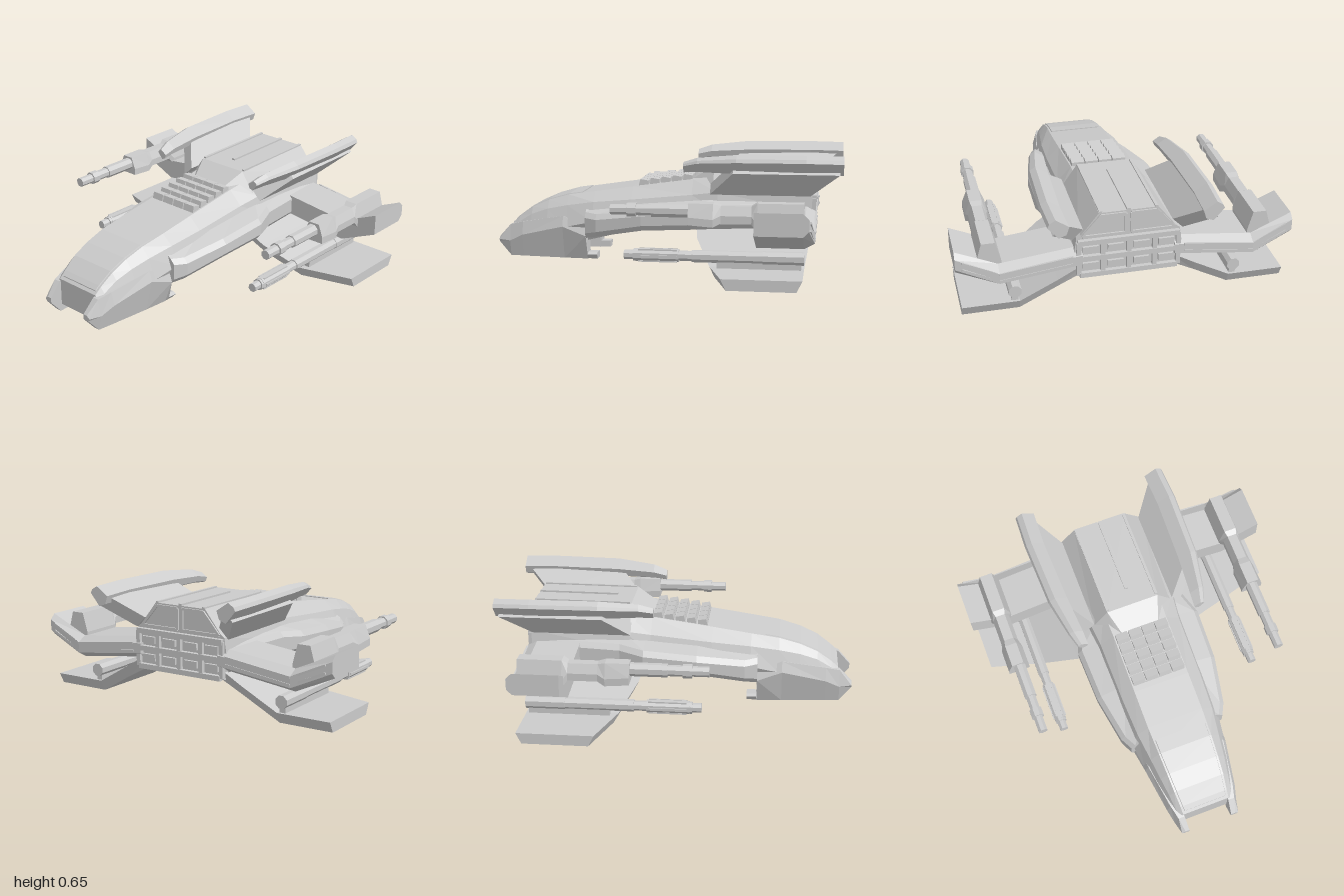
import * as THREE from 'three';

const mat = new THREE.MeshStandardMaterial({ color: 0xcccccc, flatShading: true });

// Closed solid through rings of [x, y, z] points, oriented outwards.
function loft(rings) {
  const n = rings[0].length, pos = [];
  let tris = [];
  for (let i = 0; i < rings.length - 1; i++)
    for (let j = 0; j < n; j++) {
      const k = (j + 1) % n, a = rings[i][j], b = rings[i][k], c = rings[i + 1][k], d = rings[i + 1][j];
      tris.push([a, b, c], [a, c, d]);
    }
  const cap = (r, flip) => {
    const c = [0, 1, 2].map(q => r.reduce((s, p) => s + p[q], 0) / n);
    for (let j = 0; j < n; j++) {
      const a = r[j], b = r[(j + 1) % n];
      tris.push(flip ? [c, b, a] : [c, a, b]);
    }
  };
  cap(rings[0], true);
  cap(rings[rings.length - 1], false);
  const v = p => new THREE.Vector3(...p);
  const volume = tris.reduce((s, [a, b, c]) => s + v(a).dot(v(b).cross(v(c))), 0);
  if (volume < 0) tris = tris.map(([a, b, c]) => [a, c, b]);
  tris.forEach(t => t.forEach(p => pos.push(...p)));
  const g = new THREE.BufferGeometry();
  g.setAttribute('position', new THREE.Float32BufferAttribute(pos, 3));
  g.computeVertexNormals();
  return g;
}

function add(parent, name, geo) {
  const m = new THREE.Mesh(geo, mat);
  m.name = name;
  parent.add(m);
  return m;
}

// Ring across the ship from half-profile pairs z, y
function symRing(x, ...zy) {
  const half = [];
  for (let i = 0; i < zy.length; i += 2) half.push([x, zy[i + 1], zy[i]]);
  return [...half, ...half.map(([a, b, c]) => [a, b, -c]).reverse()];
}

// Barrel along x from [x0, x1, radius] steps
function barrel(parent, name, y, z, steps) {
  const g = new THREE.Group();
  g.name = name;
  for (const [x0, x1, r] of steps) {
    const geo = new THREE.CylinderGeometry(r, r, x1 - x0, 8);
    geo.rotateY(Math.PI / 8).rotateZ(Math.PI / 2).translate((x0 + x1) / 2, y, z);
    add(g, name + 'Section', geo);
  }
  parent.add(g);
}

// Bar of square section between two points
function bar(parent, name, a, b, w) {
  const p = new THREE.Vector3(...a), q = new THREE.Vector3(...b);
  const m = add(parent, name, new THREE.BoxGeometry(w, w, p.distanceTo(q)));
  m.position.copy(p).lerp(q, 0.5);
  m.lookAt(q);
}

// Octagon plate with a raised rim and nozzle rings on the belly
function thruster(parent, x, y, z, r, tilt, offsets) {
  const g = new THREE.Group();
  g.name = 'bellyThruster';
  add(g, 'thrusterPlate', new THREE.CylinderGeometry(r, r, 0.012, 8).rotateY(Math.PI / 8));
  add(g, 'thrusterRim', new THREE.TorusGeometry(r, 0.009, 4, 8).rotateZ(Math.PI / 8).rotateX(Math.PI / 2)).position.y = -0.004;
  for (const [ox, oz, s] of offsets) {
    add(g, 'nozzleRing', new THREE.TorusGeometry(s, s * 0.25, 6, 12).rotateX(Math.PI / 2)).position.set(ox, -0.007, oz);
    add(g, 'nozzleCore', new THREE.CylinderGeometry(s * 0.45, s * 0.45, 0.018, 10)).position.set(ox, -0.006, oz);
  }
  g.position.set(x, y, z);
  g.rotation.z = tilt;
  parent.add(g);
}

// Everything that exists once on each side, built at +z
function buildSide() {
  const s = new THREE.Group();

  // Nose prong running back into a foot
  const prong = (x, zi, zb, zo, y0, ym, y1) => [[x, y0, zi], [x, y0, zb], [x, ym, zo], [x, y1, zo - 0.02], [x, y1, zi]];
  add(s, 'noseProng', loft([
    prong(-1, 0.13, 0.165, 0.175, 0.09, 0.105, 0.12), prong(-0.93, 0.135, 0.17, 0.192, 0.01, 0.1, 0.195),
    prong(-0.85, 0.14, 0.18, 0.212, 0.01, 0.14, 0.215), prong(-0.6, 0.15, 0.205, 0.252, 0.01, 0.2, 0.26),
    prong(-0.46, 0.155, 0.215, 0.268, 0.01, 0.15, 0.21), prong(-0.455, 0.155, 0.215, 0.24, 0.012, 0.04, 0.05),
    prong(-0.4, 0.155, 0.215, 0.24, 0.012, 0.04, 0.05)]));

  // Side sponson
  const sp = (x, z, y0, y1) => [[x, y0 - 0.01, 0.2], [x, y0, z - 0.025], [x, y0 + 0.03, z], [x, y1 - 0.03, z], [x, y1, z - 0.025], [x, y1 + 0.04, 0.2]];
  add(s, 'sideSponson', loft([sp(-0.46, 0.285, 0.14, 0.29), sp(-0.39, 0.32, 0.155, 0.285), sp(-0.12, 0.37, 0.205, 0.32),
    sp(0.18, 0.38, 0.22, 0.345), sp(0.32, 0.33, 0.22, 0.36), sp(0.8, 0.3, 0.22, 0.37)]));

  // Cranked upper wing with bevelled trailing edge
  const wing = (z, b, t, e = 0.855) => [[0.55, b, z], [0.55, t, z], [0.8, t, z], [e, t - 0.03, z], [e, b + 0.03, z], [0.8, b, z]];
  add(s, 'upperWing', loft([wing(0.25, 0.245, 0.36), wing(0.69, 0.19, 0.31), wing(0.915, 0.29, 0.41, 0.83)]));
  const ridge = [[0.3, 0.285], [0.69, 0.235], [0.88, 0.32]];
  for (const up of [0, 0.04])
    for (let i = 0; i < 2; i++)
      bar(s, 'wingTrim', [0.853 - i * 0.006, ridge[i][1] + up, ridge[i][0]], [0.853 - i * 0.018, ridge[i + 1][1] + up, ridge[i + 1][0]], 0.012);

  // Drooped lower wing
  const low = (z, x0, x1, b, t) => [[x0 + 0.03, b, z], [x0, t, z], [x1, t, z], [x1 - 0.03, b, z]];
  add(s, 'lowerWing', loft([low(0.22, 0.18, 0.83, 0.2, 0.27), low(0.38, 0.2, 0.82, 0.115, 0.175),
    low(0.58, 0.29, 0.8, 0, 0.06), low(0.89, 0.38, 0.8, 0, 0.06)]));

  // Dorsal fin and its long pod
  const fin = (x0, x1, y, z) => [[x0, y + 0.028, z - 0.028], [x0, y - 0.028, z + 0.028], [x1, y - 0.028, z + 0.028], [x1, y + 0.028, z - 0.028]];
  add(s, 'dorsalFin', loft([fin(0.26, 0.82, 0.44, 0.27), fin(0.4, 0.98, 0.575, 0.405)]));
  const pod = (x, dz, dy, k = 1) => [[0.355, 0.605], [0.37, 0.56], [0.41, 0.545], [0.467, 0.612], [0.457, 0.632], [0.425, 0.652]]
    .map(([z, y]) => [x, 0.6 + (y - 0.6) * k + dy, 0.41 + (z - 0.41) * k + dz]);
  add(s, 'finPod', loft([pod(0.12, -0.055, -0.028, 0.55), pod(0.2, -0.04, -0.012, 0.75), pod(0.42, -0.01, -0.003), pod(0.8, 0.003, 0), pod(1, -0.005, -0.003)]));

  // Upper gun in a tapered housing
  barrel(s, 'upperGun', 0.385, 0.73, [[-0.22, -0.13, 0.028], [-0.13, -0.08, 0.038], [-0.08, 0.0, 0.03], [0, 0.22, 0.037]]);
  const house = (x, w, y0, y1) => [[-1, y0], [1, y0], [1, y0 + 0.04], [0.55, y1], [-0.55, y1], [-1, y0 + 0.04]].map(([k, y]) => [x, y, 0.737 + k * w]);
  add(s, 'gunHousing', loft([house(0.2, 0.062, 0.32, 0.43), house(0.33, 0.062, 0.31, 0.43), house(0.37, 0.05, 0.33, 0.42),
    house(0.53, 0.05, 0.33, 0.42), house(0.56, 0.066, 0.29, 0.437), house(0.8, 0.066, 0.29, 0.437)]));

  // Lower gun with ribbed barrel
  barrel(s, 'lowerGun', 0.12, 0.605, [[-0.17, -0.12, 0.026], [-0.12, -0.105, 0.034], [-0.105, 0.13, 0.036], [0.13, 0.2, 0.028],
    [0.2, 0.58, 0.034], [0.58, 0.8, 0.037]]);
  for (let i = 0; i < 6; i++) {
    const y = 0.12 + Math.sin(i * Math.PI / 3) * 0.036, z = 0.605 + Math.cos(i * Math.PI / 3) * 0.036;
    bar(s, 'gunRib', [-0.09, y, z], [0.12, y, z], 0.008);
  }
  add(s, 'gunMount', new THREE.BoxGeometry(0.45, 0.07, 0.035)).position.set(0.56, 0.075, 0.605);

  // Belly thrusters
  thruster(s, 0.4, 0.138, 0.125, 0.105, 0, [[0.035, 0.035, 0.036], [-0.045, 0.03, 0.028], [0, -0.05, 0.03]]);
  thruster(s, -0.53, 0.102, 0.085, 0.07, 0.23, [[0, 0, 0.036]]);
  return s;
}

export function createModel() {
  const ship = new THREE.Group();
  ship.name = 'spacecraft';

  // Main hull
  add(ship, 'hull', loft([
    symRing(-0.92, 0.14, 0.205, 0.165, 0.18, 0.185, 0.12, 0.15, 0.05),
    symRing(-0.88, 0.142, 0.24, 0.17, 0.21, 0.2, 0.13, 0.16, 0.053),
    symRing(-0.8, 0.15, 0.298, 0.18, 0.26, 0.215, 0.16, 0.17, 0.06),
    symRing(-0.7, 0.155, 0.342, 0.195, 0.295, 0.235, 0.18, 0.19, 0.072),
    symRing(-0.58, 0.16, 0.376, 0.21, 0.32, 0.25, 0.2, 0.2, 0.087),
    symRing(-0.42, 0.165, 0.4, 0.23, 0.345, 0.27, 0.235, 0.22, 0.13),
    symRing(-0.2, 0.165, 0.432, 0.24, 0.365, 0.275, 0.27, 0.25, 0.187),
    symRing(0.15, 0.165, 0.48, 0.245, 0.4, 0.28, 0.3, 0.27, 0.205),
    symRing(0.3, 0.17, 0.5, 0.26, 0.42, 0.285, 0.32, 0.27, 0.205),
    symRing(0.83, 0.17, 0.5, 0.28, 0.42, 0.295, 0.32, 0.27, 0.2)]));

  // Belly keel between the lower wings
  add(ship, 'bellyKeel', loft([symRing(0.2, 0.26, 0.24, 0.25, 0.2), symRing(0.28, 0.265, 0.24, 0.245, 0.142),
    symRing(0.53, 0.27, 0.24, 0.25, 0.138), symRing(0.83, 0.275, 0.24, 0.275, 0.195)]));

  // Raised aft deck with spine and rails
  add(ship, 'aftDeck', loft([symRing(0.14, 0.11, 0.478, 0.14, 0.44), symRing(0.27, 0.155, 0.555, 0.24, 0.43), symRing(0.83, 0.16, 0.56, 0.27, 0.42)]));
  bar(ship, 'deckSpine', [0.37, 0.556, 0], [0.83, 0.56, 0], 0.02);
  for (const z of [-0.15, 0.15]) bar(ship, 'deckRail', [0.28, 0.555, z], [0.83, 0.56, z], 0.016);

  // Cockpit canopy following the nose
  const can = (x, y, z) => symRing(x, z - 0.01, y + 0.005, z, y - 0.02);
  add(ship, 'canopy', loft([can(-0.905, 0.218, 0.135), can(-0.88, 0.24, 0.138), can(-0.8, 0.298, 0.146), can(-0.7, 0.342, 0.152), can(-0.58, 0.376, 0.158), can(-0.5, 0.388, 0.16)]));

  // Slanted louvres on the back
  for (let i = 0; i < 5; i++)
    for (const z of [-0.12, -0.04, 0.04, 0.12]) {
      const x = -0.14 + i * 0.064, y = 0.442 + i * 0.0085;
      add(ship, 'louvre', loft([z - 0.037, z + 0.037].map(w =>
        [[x - 0.031, y - 0.02, w], [x - 0.018, y + 0.032, w], [x + 0.028, y + 0.024, w], [x + 0.028, y - 0.02, w]])));
    }

  // Rear grille: frame bars and window panes
  const rear = new THREE.Group();
  rear.name = 'rearGrille';
  for (const [y, w] of [[0.205, 0.265], [0.305, 0.29], [0.4, 0.275]]) bar(rear, 'grilleBar', [0.84, y, -w], [0.84, y, w], 0.028);
  for (const z of [-0.27, -0.14, 0, 0.14, 0.27]) bar(rear, 'grillePost', [0.838, 0.205, z], [0.838, 0.4, z], 0.024);
  for (const y of [0.255, 0.353])
    for (const z of [-0.205, -0.07, 0.07, 0.205]) add(rear, 'grillePane', new THREE.BoxGeometry(0.02, 0.036, 0.085)).position.set(0.835, y, z);
  for (const m of [-1, 1]) {
    const pts = [[0.545, 0.015], [0.545, 0.15], [0.43, 0.25], [0.43, 0.015]];
    pts.forEach(([y, z], i) => {
      const [y2, z2] = pts[(i + 1) % 4];
      bar(rear, 'upperPanelFrame', [0.832, y, z * m], [0.832, y2, z2 * m], 0.014);
    });
  }
  ship.add(rear);

  // Mirrored halves
  for (const m of [1, -1]) {
    const side = buildSide();
    side.name = m > 0 ? 'leftSide' : 'rightSide';
    side.scale.z = m;
    ship.add(side);
  }
  return ship;
}
